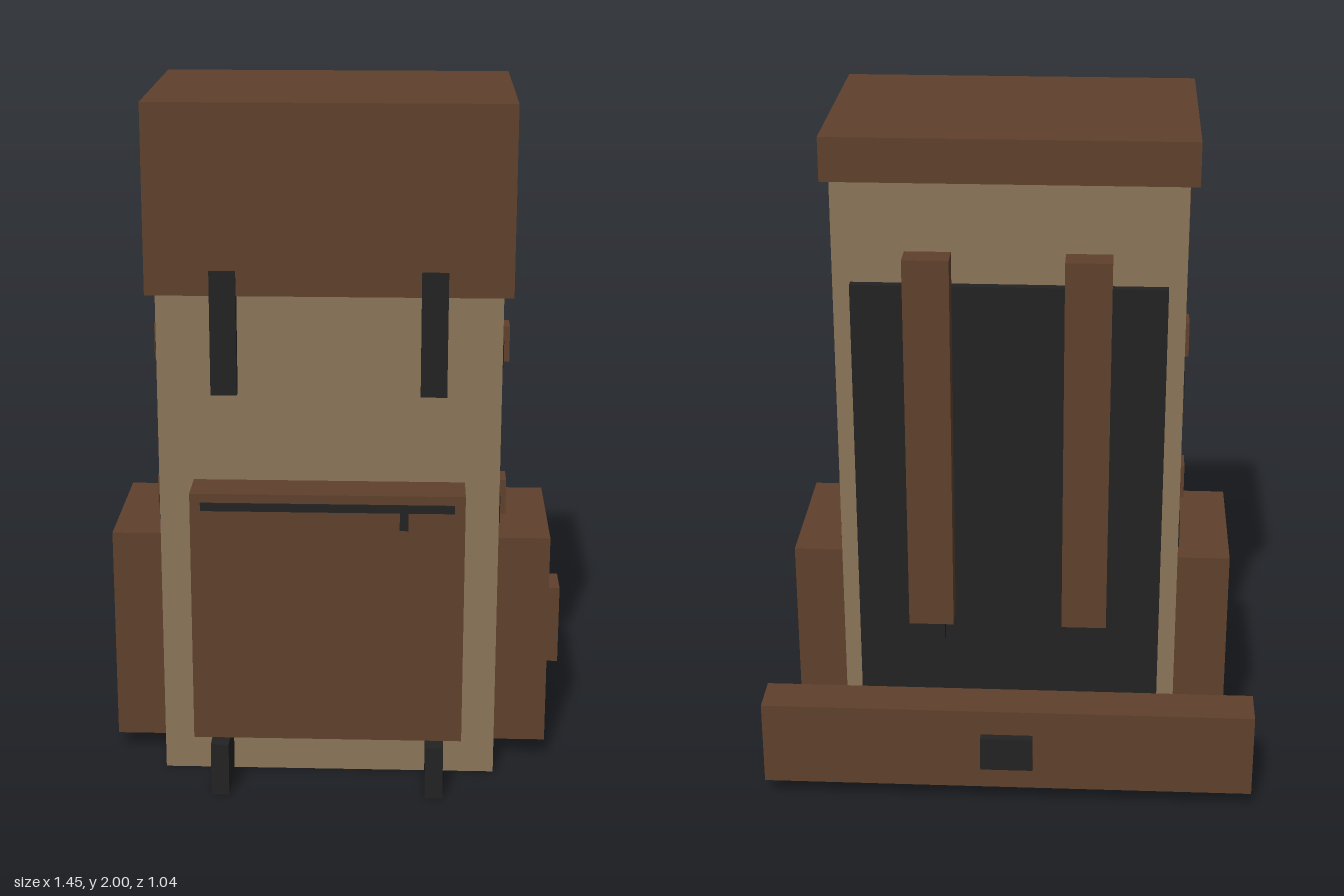
import * as THREE from 'three';

const mat = (name, color) => {
  const m = new THREE.MeshStandardMaterial({ color });
  m.name = name;
  return m;
};

export function createModel() {
  const canvas = mat('tan canvas', 0x8b7558);
  const leather = mat('brown leather', 0x5f402c);
  const black = mat('black webbing', 0x222222);
  const model = new THREE.Group();
  model.name = 'backpack';

  // Box given by its extents along each axis
  const box = (name, material, [x0, x1], [y0, y1], [z0, z1]) => {
    const mesh = new THREE.Mesh(new THREE.BoxGeometry(x1 - x0, y1 - y0, z1 - z0), material);
    mesh.position.set((x0 + x1) / 2, (y0 + y1) / 2, (z0 + z1) / 2);
    mesh.name = name;
    model.add(mesh);
  };
  // Same box on both sides of the pack
  const pair = (name, material, [x0, x1], y, z) => {
    box(name + 'Left', material, [x0, x1], y, z);
    box(name + 'Right', material, [-x1, -x0], y, z);
  };

  // Main bag and lid with front flap
  box('body', canvas, [-0.49, 0.49], [0, 1.875], [-0.336, 0.34]);
  box('lid', leather, [-0.517, 0.517], [1.875, 2], [-0.336, 0.364]);
  box('lidFlap', leather, [-0.517, 0.517], [1.46, 1.875], [0.342, 0.364]);
  pair('lidStrap', black, [0.26, 0.335], [1.172, 1.532], [0.34, 0.367]);

  // Front pocket with zip
  box('frontPocket', leather, [-0.39, 0.39], [0.16, 0.912], [0.34, 0.47]);
  box('zip', black, [-0.36, 0.36], [0.862, 0.886], [0.468, 0.474]);
  box('zipPull', black, [0.205, 0.23], [0.81, 0.864], [0.468, 0.475]);

  // Bottom straps under the front pocket
  pair('bottomStrap', black, [0.285, 0.337], [0, 0.16], [0.34, 0.52]);

  // Side pockets, compression straps and their buckles
  pair('sidePocket', leather, [0.49, 0.648], [0.056, 0.705], [-0.232, 0.232]);
  for (const [level, y] of [['lower', 0.78], ['upper', 1.247]]) {
    pair(level + 'SideStrap', black, [0.488, 0.494], [y, y + 0.079], [-0.31, 0.314]);
    pair(level + 'SideBuckle', leather, [0.488, 0.517], [y - 0.024, y + 0.081], [0.079, 0.16]);
  }

  // Back panel, shoulder straps and hip belt
  box('backPanel', black, [-0.44, 0.44], [0.16, 1.59], [-0.362, -0.336]);
  pair('shoulderStrap', leather, [0.157, 0.286], [0.576, 1.69], [-0.44, -0.362]);
  pair('shoulderStrapEnd', black, [0.182, 0.261], [0.522, 0.576], [-0.44, -0.414]);
  box('hipBelt', leather, [-0.727, 0.727], [0.056, 0.315], [-0.492, -0.362]);
  box('hipBuckle', black, [-0.077, 0.077], [0.132, 0.237], [-0.518, -0.492]);
  pair('beltAnchor', leather, [0.31, 0.39], [0.04, 0.16], [-0.34, -0.334]);

  return model;
}
